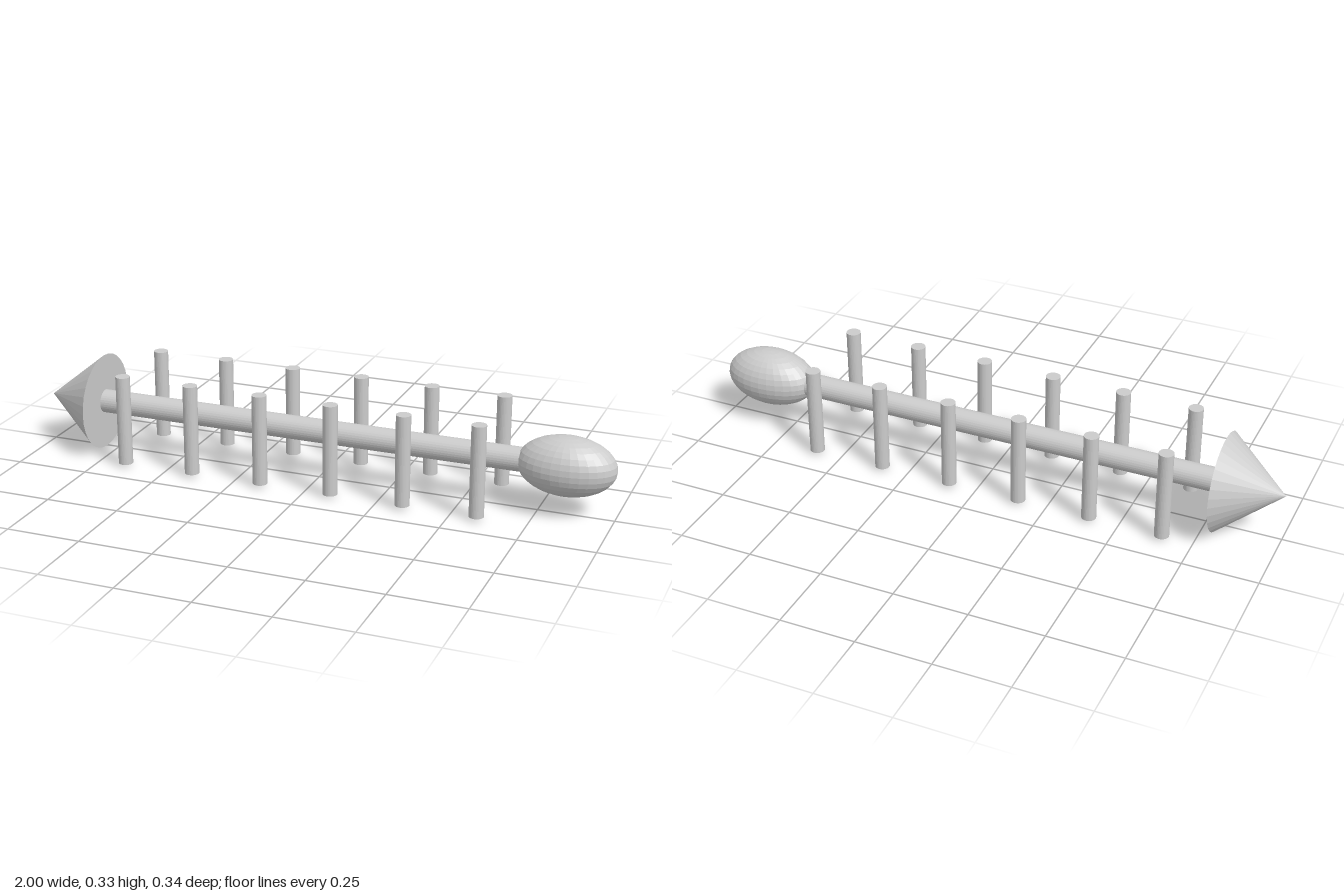
import * as THREE from 'three';

const AXIS_Y = 0.166;

export function createModel() {
  const model = new THREE.Group();
  const material = new THREE.MeshStandardMaterial({ color: 0xcccccc, flatShading: true });

  const add = (name, geometry, x, y, z) => {
    const mesh = new THREE.Mesh(geometry, material);
    mesh.name = name;
    mesh.position.set(x, y, z);
    model.add(mesh);
    return mesh;
  };

  // Long central rod, running from the cone into the bulb
  const rod = add('shaft', new THREE.CylinderGeometry(0.04, 0.04, 1.55, 32), -0.02, AXIS_Y, 0);
  rod.rotation.z = Math.PI / 2;

  // Cone pointing to -x
  const tip = add('coneTip', new THREE.ConeGeometry(0.165, 0.205, 32), -0.8975, AXIS_Y, 0);
  tip.rotation.z = Math.PI / 2;

  // Stretched bulb at the +x end
  const bulb = add('bulb', new THREE.SphereGeometry(0.0985, 32, 16), 0.838, AXIS_Y, 0);
  bulb.scale.x = 0.162 / 0.0985;

  // Two rows of upright posts, one on each side of the rod
  const postGeometry = new THREE.CylinderGeometry(0.0245, 0.0245, 0.309, 32);
  for (const [side, z] of [['front', 0.145], ['back', -0.145]]) {
    for (let i = 0; i < 6; i++) {
      add(`${side}Post${i + 1}`, postGeometry, -0.648 + i * 0.2474, AXIS_Y, z);
    }
  }

  return model;
}
